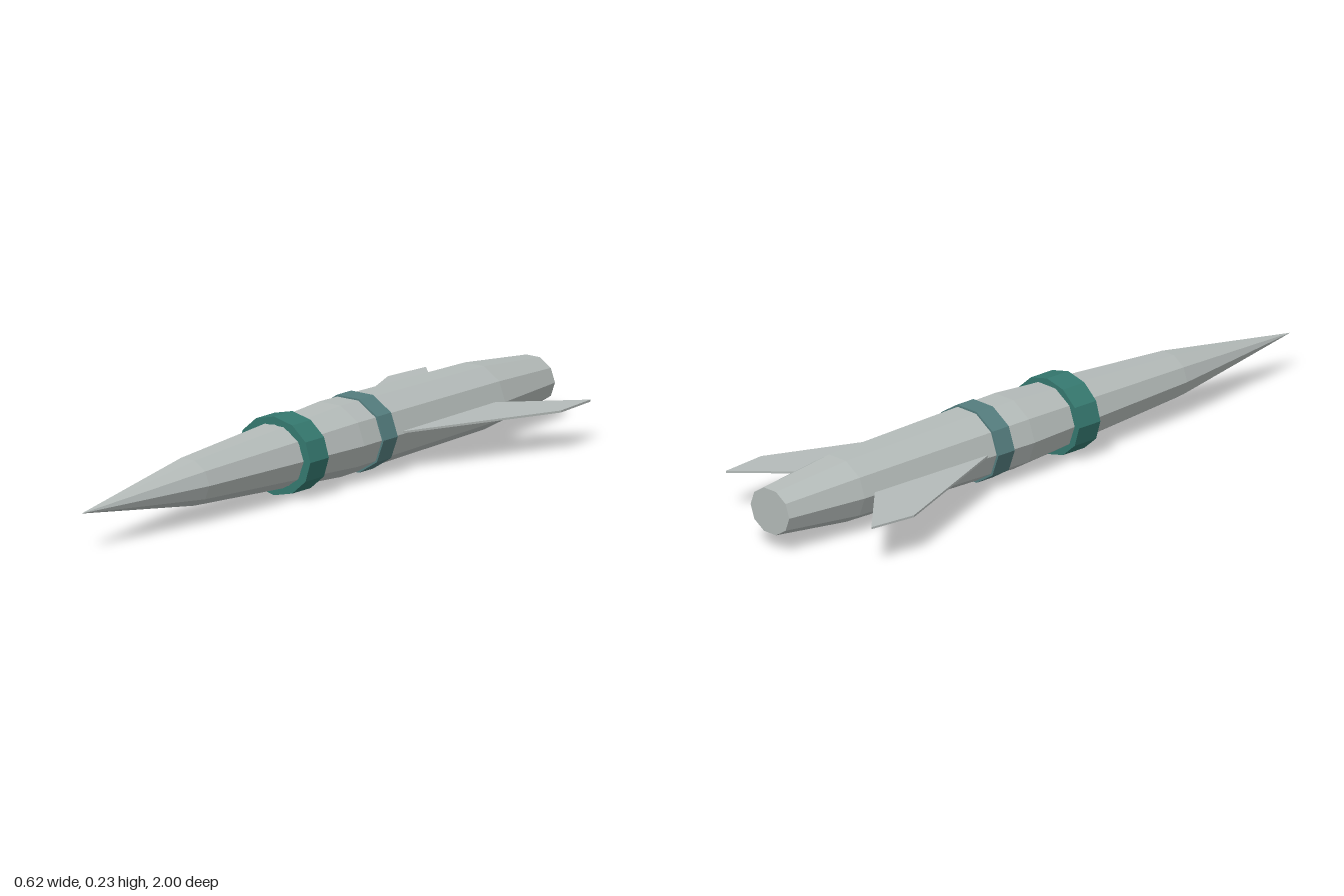
import * as THREE from 'three';

const CENTRE_Y = 0.1165;
const SQUASH = 0.866; // the hull is slightly flattened vertically

const flat = (name, color) => {
  const m = new THREE.MeshStandardMaterial({ color, flatShading: true });
  m.name = name;
  return m;
};

// Faceted part turned around the z axis; profile is [radius, z] from back to front
function turned(name, profile, sides, material) {
  const points = profile.map(([r, z]) => new THREE.Vector2(r, z));
  const geo = new THREE.LatheGeometry(points, sides, Math.PI / 2);
  geo.rotateX(Math.PI / 2);
  geo.scale(1, SQUASH, 1);
  const mesh = new THREE.Mesh(geo, material);
  mesh.name = name;
  mesh.position.y = CENTRE_Y;
  return mesh;
}

const bandProfile = (inner, outer, back, front) =>
  [[inner, back], [outer, back], [outer, front], [inner, front]];

// Thin swept fin; outline is [x, z] on the side given by sign
function fin(name, side, material) {
  const outline = [[0.08, -0.18], [0.312, -0.74], [0.297, -0.89], [0.08, -0.67]];
  const shape = new THREE.Shape(outline.map(([x, z]) => new THREE.Vector2(side * x, -z)));
  const geo = new THREE.ExtrudeGeometry(shape, { depth: 0.006, bevelEnabled: false });
  geo.rotateX(-Math.PI / 2);
  const mesh = new THREE.Mesh(geo, material);
  mesh.name = name;
  mesh.position.y = 0.118;
  return mesh;
}

export function createModel() {
  const model = new THREE.Group();
  model.name = 'rocket';

  const grey = flat('hull grey', 0xb4bbb9);
  const teal = flat('ring teal', 0x35786f);
  const blueGrey = flat('band blue grey', 0x547d7e);

  // Ten-sided hull with pointed nose and flat tail
  model.add(turned('hull', [
    [0, -1], [0.079, -1], [0.111, -0.74], [0.125, -0.1], [0.079, 0.53], [0, 1],
  ], 10, grey));

  // Raised twelve-sided collar and slim rear band
  model.add(turned('collar', bandProfile(0.105, 0.131, 0.065, 0.147), 12, teal));
  model.add(turned('rearBand', bandProfile(0.115, 0.129, -0.243, -0.18), 10, blueGrey));

  // Mirrored fins
  model.add(fin('leftFin', 1, grey), fin('rightFin', -1, grey));
  return model;
}
